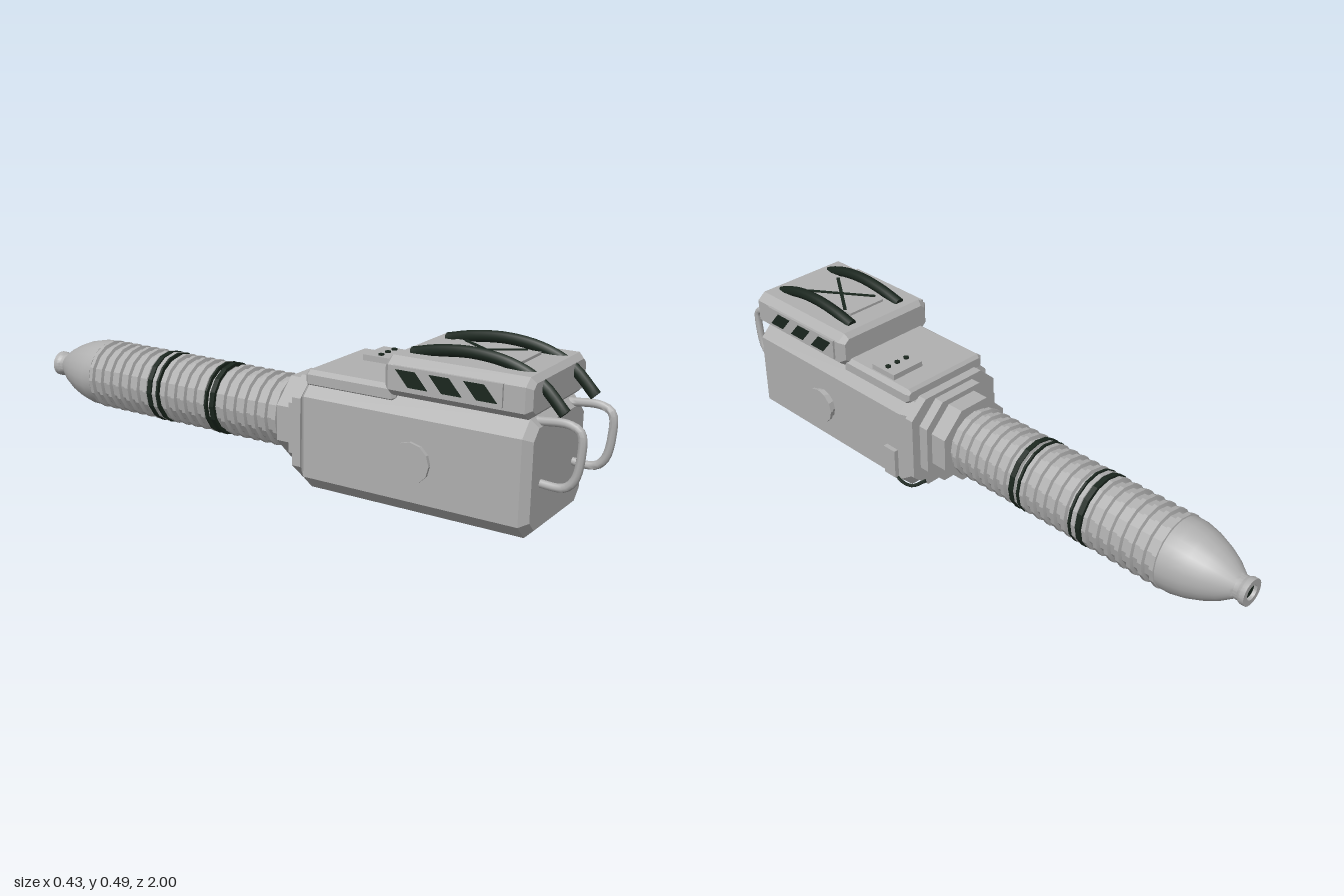
import * as THREE from 'three';
import { toCreasedNormals } from 'three/addons/utils/BufferGeometryUtils.js';

const grey = new THREE.MeshStandardMaterial({ color: 0xb0b0b0 });
grey.name = 'light grey metal';
const dark = new THREE.MeshStandardMaterial({ color: 0x1a261e });
dark.name = 'dark green rubber';

export function createModel() {
  const model = new THREE.Group();
  const AXIS = 0.17; // height of the barrel axis

  function add(name, geo, mat, x = 0, y = 0, z = 0) {
    const m = new THREE.Mesh(geo, mat);
    m.name = name;
    m.position.set(x, y, z);
    model.add(m);
    return m;
  }
  const box = (name, mat, w, h, d, x, y, z) => add(name, new THREE.BoxGeometry(w, h, d), mat, x, y, z);

  // Box with cut corners (cx, cy) and bevelled ends
  function chamferBox(name, w, y0, y1, z0, z1, cx, cy, bevel) {
    const a = w / 2;
    const s = new THREE.Shape([
      [-a + cx, y0], [a - cx, y0], [a, y0 + cy], [a, y1 - cy],
      [a - cx, y1], [-a + cx, y1], [-a, y1 - cy], [-a, y0 + cy],
    ].map(([x, y]) => new THREE.Vector2(x, y)));
    const geo = new THREE.ExtrudeGeometry(s, {
      depth: z1 - z0 - 2 * bevel, bevelEnabled: bevel > 0,
      bevelSize: bevel, bevelOffset: -bevel, bevelThickness: bevel, bevelSegments: 1,
    });
    return add(name, geo, grey, 0, 0, z0 + bevel);
  }

  // Surface of revolution along z from [radius, z] points ordered front to back
  function turned(name, mat, pts, sides, crease) {
    const geo = new THREE.LatheGeometry(pts.map(([r, z]) => new THREE.Vector2(r, -z)), sides);
    geo.rotateX(-Math.PI / 2);
    return add(name, toCreasedNormals(geo, crease), mat, 0, AXIS, 0);
  }

  // Round bar through [x, y, z] points, closed at both ends
  function bar(name, mat, pts, radius, segs, sides) {
    const curve = new THREE.CatmullRomCurve3(pts.map(p => new THREE.Vector3(...p)));
    add(name, toCreasedNormals(new THREE.TubeGeometry(curve, segs, radius, sides), 0.8), mat);
    for (const t of [0, 1]) {
      const p = curve.getPoint(t), dir = curve.getTangent(t).multiplyScalar(t ? 1 : -1);
      add(name + 'End', new THREE.CircleGeometry(radius, sides), mat, p.x, p.y, p.z).lookAt(p.clone().add(dir));
    }
  }

  // Main housing, lid and rear deck
  chamferBox('body', 0.38, 0, 0.333, 0.15, 0.88, 0.045, 0.044, 0.023);
  chamferBox('lid', 0.376, 0.335, 0.45, 0.435, 0.875, 0.028, 0.022, 0.016);
  chamferBox('rearDeck', 0.33, 0.31, 0.362, 0.16, 0.46, 0.015, 0.012, 0.01);

  // Lid panel with crossed strips
  box('lidPanel', grey, 0.14, 0.012, 0.26, 0, 0.452, 0.655);
  for (const s of [-1, 1]) {
    box('crossStrip', dark, 0.011, 0.004, 0.23, 0, 0.459, 0.652).rotation.y = s * 0.6;
  }

  // Switch panel with three buttons
  box('switchPanel', grey, 0.12, 0.022, 0.1, 0.085, 0.369, 0.29);
  for (let i = -1; i <= 1; i++) {
    add('button', new THREE.CylinderGeometry(0.009, 0.009, 0.006, 8), dark, 0.085 + i * 0.038, 0.382, 0.29);
  }

  for (const s of [-1, 1]) {
    // Side plate with slanted stripes
    box('lidSidePlate', grey, 0.012, 0.065, 0.33, s * 0.189, 0.397, 0.633);
    const slant = new THREE.Shape([[0.0, 0], [0.06, 0], [0.1, 0.046], [0.04, 0.046]]
      .map(([u, v]) => new THREE.Vector2(u, v)));
    const stripeGeo = new THREE.ExtrudeGeometry(slant, { depth: 0.004, bevelEnabled: false });
    stripeGeo.rotateY(Math.PI / 2); // shape x runs toward -z
    for (let i = 0; i < 3; i++) {
      add('warningStripe', stripeGeo, dark, s * 0.195 - 0.002, 0.374, 0.785 - i * 0.103);
    }

    // Round side knob: base, stem and cap
    for (const [name, r, x0, x1] of [['knobBase', 0.052, 0.18, 0.202],
      ['knobStem', 0.03, 0.195, 0.21], ['knobCap', 0.06, 0.205, 0.214]]) {
      const geo = new THREE.CylinderGeometry(r, r, x1 - x0, 12);
      geo.rotateZ(Math.PI / 2);
      add(name, toCreasedNormals(geo, 0.2), grey, s * (x0 + x1) / 2, 0.167, 0.54);
    }

    // Strap over the lid
    bar('strap', dark, [[0.102, 0.447, 0.48], [0.102, 0.465, 0.56], [0.102, 0.474, 0.67],
      [0.102, 0.459, 0.78], [0.103, 0.42, 0.865], [0.104, 0.35, 0.935]]
      .map(([x, y, z]) => [s * x, y, z]), 0.0175, 20, 8);

    // Front handle
    bar('handle', grey, [[0.32, 0.86], [0.325, 0.95], [0.308, 0.983], [0.24, 0.987],
      [0.175, 0.972], [0.15, 0.945], [0.15, 0.86]]
      .map(([y, z]) => [s * 0.108, y, z]), 0.0125, 28, 8);
  }

  // Side latch and the cable leading from it
  box('latch', grey, 0.03, 0.1, 0.05, 0.19, 0.1, 0.21);
  bar('cable', dark, [[0.192, 0.055, 0.2], [0.19, 0.035, 0.175], [0.172, 0.022, 0.145],
    [0.14, 0.04, 0.115]], 0.006, 12, 6);

  // Stepped collar
  chamferBox('collarLarge', 0.36, 0.012, 0.332, 0.125, 0.155, 0.06, 0.055, 0);
  chamferBox('collarMiddle', 0.3, 0.022, 0.318, 0.092, 0.13, 0.07, 0.07, 0);
  chamferBox('collarSmall', 0.26, 0.04, 0.3, 0.035, 0.095, 0.075, 0.075, 0);

  // Ribbed barrel
  const ribs = [[0.105, 0.05]];
  for (let i = 0; i < 20; i++) {
    const z = 0.02 - i * 0.04;
    ribs.push([0.105, z], [0.116, z - 0.003], [0.116, z - 0.017], [0.105, z - 0.02]);
  }
  ribs.push([0.105, -0.77]);
  turned('barrel', grey, ribs, 16, 0.2);

  // Dark bands around the barrel
  for (const [z, w] of [[-0.229, 0.017], [-0.255, 0.007], [-0.456, 0.007], [-0.489, 0.017]]) {
    turned('barrelBand', dark, [[0.1, z + w / 2], [0.1175, z + w / 2], [0.1175, z - w / 2], [0.1, z - w / 2]], 16, 0.2);
  }

  // Nozzle with a dark opening
  turned('nozzle', grey, [[0.1, -0.76], [0.113, -0.76], [0.112, -0.795], [0.102, -0.84], [0.085, -0.885],
    [0.064, -0.925], [0.042, -0.955], [0.037, -0.962], [0.037, -0.975], [0.042, -0.985],
    [0.042, -1], [0.024, -1], [0.022, -0.985]], 24, 0.5);
  const bore = new THREE.CircleGeometry(0.025, 24);
  bore.rotateY(Math.PI);
  add('bore', bore, dark, 0, AXIS, -0.99);

  return model;
}
